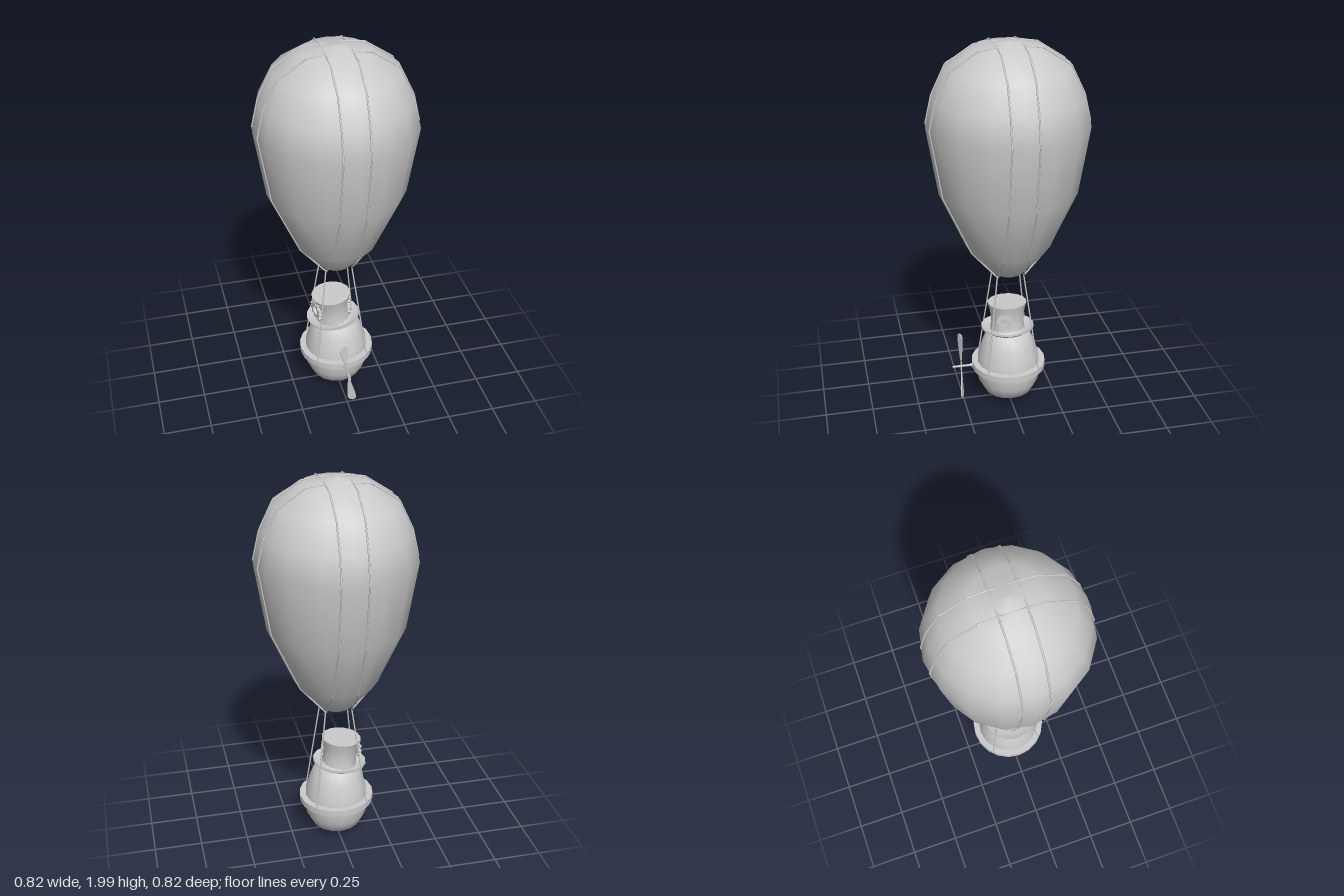
import * as THREE from 'three';
import { toCreasedNormals, mergeGeometries } from 'three/addons/utils/BufferGeometryUtils.js';

const material = new THREE.MeshStandardMaterial({ color: 0xcccccc, side: THREE.DoubleSide });

function addMesh(parent, name, geometry) {
  const mesh = new THREE.Mesh(geometry, material);
  mesh.name = name;
  parent.add(mesh);
  return mesh;
}

function lathe(profile, sides, crease) {
  const g = new THREE.LatheGeometry(profile.map(([r, y]) => new THREE.Vector2(r, y)), sides);
  return crease ? toCreasedNormals(g, crease) : g;
}

// Straight rope pieces joining a list of points
function rope(points, radius) {
  const pieces = [];
  for (let i = 0; i + 1 < points.length; i++) {
    pieces.push(new THREE.TubeGeometry(new THREE.LineCurve3(points[i], points[i + 1]), 1, radius, 6));
  }
  return mergeGeometries(pieces);
}

// Toothed wheel with a round hole, lying in the xy plane
function gearGeometry(radius, teeth) {
  const shape = new THREE.Shape();
  const step = (Math.PI * 2) / teeth;
  for (let i = 0; i < teeth; i++) {
    for (const [f, k] of [[0, 0.78], [0.42, 0.78], [0.52, 1], [0.88, 1]]) {
      const a = (i + f) * step, r = radius * k;
      if (i === 0 && f === 0) shape.moveTo(r, 0);
      else shape.lineTo(r * Math.cos(a), r * Math.sin(a));
    }
  }
  shape.closePath();
  shape.holes.push(new THREE.Path().absarc(0, 0, radius * 0.48, 0, Math.PI * 2, true));
  return new THREE.ExtrudeGeometry(shape, { depth: 0.014, bevelEnabled: false, curveSegments: 8 });
}

export function createModel() {
  const model = new THREE.Group();
  model.name = 'hotAirBalloon';

  // Envelope
  const envelope = [
    [0, 0.743], [0.085, 0.775], [0.215, 0.925], [0.355, 1.24], [0.412, 1.595],
    [0.38, 1.735], [0.31, 1.88], [0.17, 1.972], [0, 2.0],
  ];
  addMesh(model, 'envelope', lathe(envelope, 16));

  // Ropes over the envelope: two pairs crossing at the top
  const offset = 0.067;
  const half = envelope.slice(1, -1).map(([r, y]) =>
    new THREE.Vector3(offset, y + (y > 1.8 ? 0.002 : 0), r - 0.199 * offset + 0.002));
  half.push(new THREE.Vector3(offset, 1.985, offset));
  const back = half.map((p) => new THREE.Vector3(p.x, p.y, -p.z)).reverse();
  const loop = rope([...half, ...back], 0.0045);
  for (let i = 0; i < 4; i++) {
    addMesh(model, 'envelopeRope', loop).rotation.y = (i * Math.PI) / 2;
  }

  // Four ropes holding the basket
  const hanger = rope([
    new THREE.Vector3(offset, 0.78, offset + 0.004),
    new THREE.Vector3(0.138, 0.215, 0.138),
  ], 0.004);
  for (let i = 0; i < 4; i++) {
    addMesh(model, 'basketRope', hanger).rotation.y = (i * Math.PI) / 2;
  }

  // Egg-shaped basket body
  addMesh(model, 'basketBody', lathe([
    [0, 0.008], [0.075, 0.022], [0.13, 0.058], [0.163, 0.12], [0.173, 0.2],
    [0.165, 0.265], [0.143, 0.34], [0.115, 0.405], [0.06, 0.45], [0, 0.46],
  ], 16));

  // Flat band around the body
  addMesh(model, 'basketRing', lathe([
    [0.165, 0.2], [0.2, 0.2], [0.2, 0.235], [0.165, 0.235], [0.165, 0.2],
  ], 20, 0.6));

  // Tilted top hat
  const hat = new THREE.Group();
  hat.name = 'hat';
  hat.position.set(-0.017, 0.425, 0);
  hat.rotation.z = 0.08;
  model.add(hat);
  addMesh(hat, 'hatBrim', lathe([
    [0.08, -0.02], [0.107, -0.019], [0.143, 0.005], [0.143, 0.013],
    [0.105, -0.005], [0.08, -0.003],
  ], 16, 0.7));
  addMesh(hat, 'hatCrown', lathe([
    [0.094, -0.01], [0.089, 0.03], [0.089, 0.07], [0.095, 0.11], [0.105, 0.148], [0, 0.148],
  ], 16, 0.7));

  // Gears on both sides of the hat
  for (const [angle, radius, y] of [[1.25, 0.045, 0.07], [-1.35, 0.056, 0.075]]) {
    const gear = addMesh(hat, 'hatGear', gearGeometry(radius, 11));
    gear.position.set(Math.sin(angle) * 0.088, y, Math.cos(angle) * 0.088);
    gear.rotation.y = angle;
  }

  // Propeller shaft and collar
  const propeller = new THREE.Group();
  propeller.name = 'propeller';
  propeller.position.set(0, 0.217, 0);
  propeller.rotation.z = 0.14;
  model.add(propeller);
  const shaft = addMesh(propeller, 'propellerShaft', new THREE.CylinderGeometry(0.006, 0.006, 0.145, 10));
  shaft.rotation.x = Math.PI / 2;
  shaft.position.z = 0.235;
  const collar = addMesh(propeller, 'propellerCollar', new THREE.CylinderGeometry(0.01, 0.01, 0.04, 10));
  collar.rotation.x = Math.PI / 2;
  collar.position.z = 0.19;

  // Two pitched paddle blades on thin stems
  const outline = new THREE.Shape();
  outline.moveTo(-0.006, 0.04);
  outline.bezierCurveTo(-0.012, 0.09, -0.024, 0.14, -0.023, 0.165);
  outline.bezierCurveTo(-0.021, 0.197, 0.021, 0.197, 0.023, 0.165);
  outline.bezierCurveTo(0.024, 0.14, 0.012, 0.09, 0.006, 0.04);
  outline.closePath();
  const bladeGeometry = new THREE.ExtrudeGeometry(outline, { depth: 0.005, bevelEnabled: false, curveSegments: 8 });
  bladeGeometry.translate(0, 0, -0.0025);
  for (let i = 0; i < 2; i++) {
    const arm = new THREE.Group();
    arm.name = 'propellerArm';
    arm.position.z = 0.26;
    arm.rotation.z = i * Math.PI;
    propeller.add(arm);
    addMesh(arm, 'propellerBlade', bladeGeometry).rotation.y = 0.4;
    addMesh(arm, 'propellerStem', new THREE.CylinderGeometry(0.004, 0.004, 0.08, 8)).position.y = 0.04;
  }

  return model;
}
